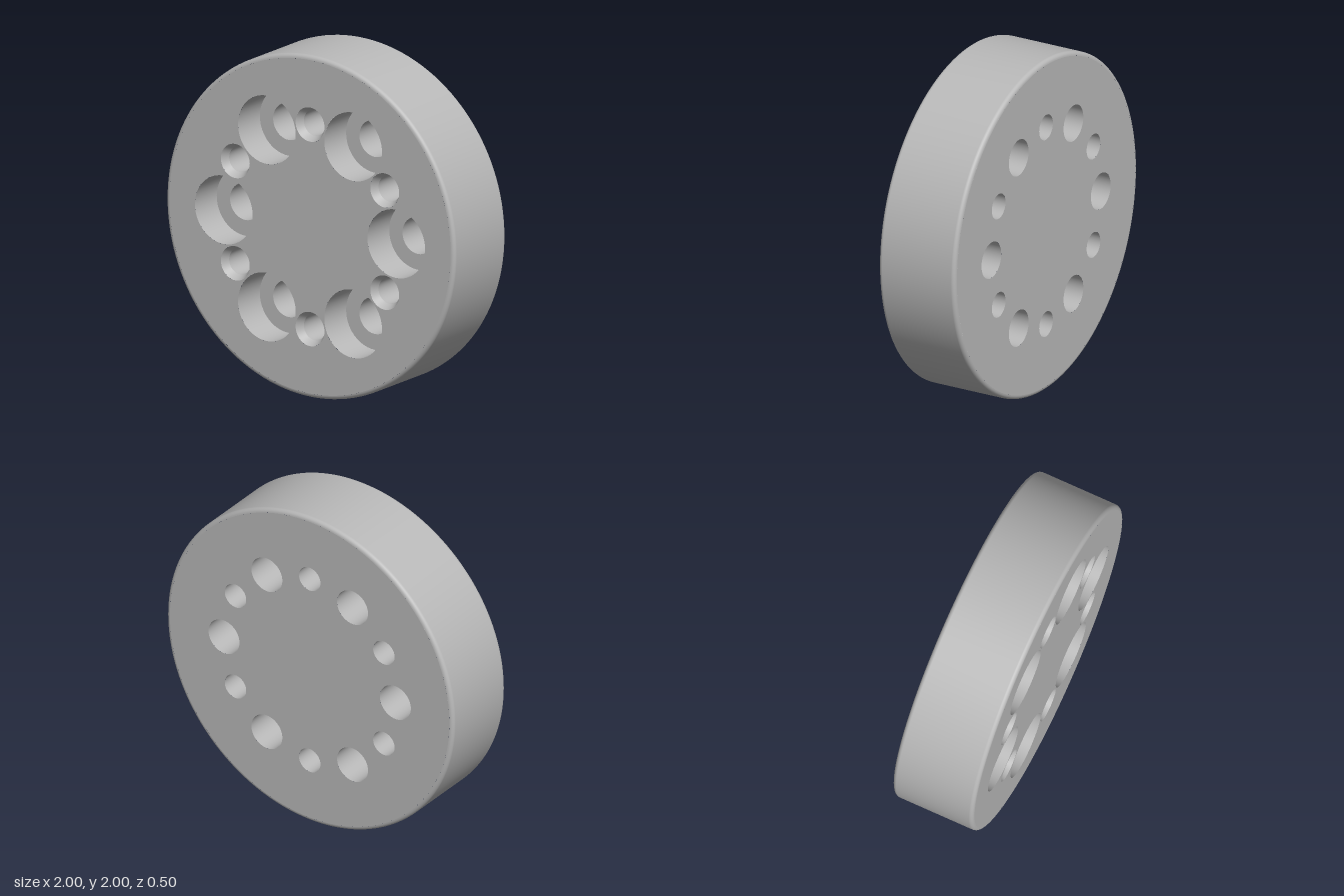
import * as THREE from 'three';

const HALF = 0.25, FILLET = 0.025, PITCH = 0.598;
const BORE = 0.2, BOLT = 0.108, FLOOR = HALF - 0.21;
const SINK = 0.1, PIN = 0.075, SINK_END = HALF - 0.045;

export function createModel() {
  const group = new THREE.Group();
  const steel = new THREE.MeshStandardMaterial({ color: 0xb8b8b8 });
  steel.name = 'grey steel';

  function add(name, geometry, x = 0, y = 0) {
    const mesh = new THREE.Mesh(geometry, steel);
    mesh.name = name;
    mesh.position.set(x, y + 1, 0);
    group.add(mesh);
  }

  // Surface of revolution about z from [radius, z] points;
  // rising z faces outward, falling z faces inward
  function turned(points, segments = 48) {
    const profile = points.map(([r, z]) => new THREE.Vector2(r, z));
    return new THREE.LatheGeometry(profile, segments).rotateX(Math.PI / 2);
  }

  // Six evenly spaced places on the bolt circle
  const ring = (start) => Array.from({ length: 6 }, (_, i) => {
    const a = start + i * Math.PI / 3;
    return [PITCH * Math.cos(a), PITCH * Math.sin(a)];
  });
  const bolts = ring(0), pins = ring(Math.PI / 6);

  // Flat disc face pierced by both sets of holes
  function face(boltRadius, pinRadius) {
    const shape = new THREE.Shape().absarc(0, 0, 1 - FILLET, 0, Math.PI * 2);
    const pierce = (places, r) => places.forEach(([x, y]) =>
      shape.holes.push(new THREE.Path().absarc(x, y, r, 0, Math.PI * 2, true)));
    pierce(bolts, boltRadius);
    pierce(pins, pinRadius);
    return new THREE.ShapeGeometry(shape, 48);
  }
  add('frontFace', face(BORE, SINK).translate(0, 0, HALF));
  add('backFace', face(BOLT, PIN).rotateY(Math.PI).translate(0, 0, -HALF));

  // Outer rim with rounded edges
  const rim = [];
  for (const side of [-1, 1]) {
    for (let i = 0; i <= 6; i++) {
      const a = (side < 0 ? i - 6 : i) * Math.PI / 12;
      rim.push([1 - FILLET + FILLET * Math.cos(a), side * (HALF - FILLET) + FILLET * Math.sin(a)]);
    }
  }
  add('rim', turned(rim, 128));

  // Counterbored bolt holes
  for (const [x, y] of bolts) {
    add('counterboreWall', turned([[BORE, HALF], [BORE, FLOOR]]), x, y);
    add('counterboreFloor', new THREE.RingGeometry(BOLT, BORE, 48).translate(0, 0, FLOOR), x, y);
    add('boltHole', turned([[BOLT, FLOOR], [BOLT, -HALF]]), x, y);
  }

  // Small countersunk holes
  for (const [x, y] of pins) {
    add('countersink', turned([[SINK, HALF], [PIN, SINK_END]]), x, y);
    add('pinHole', turned([[PIN, SINK_END], [PIN, -HALF]]), x, y);
  }
  return group;
}
